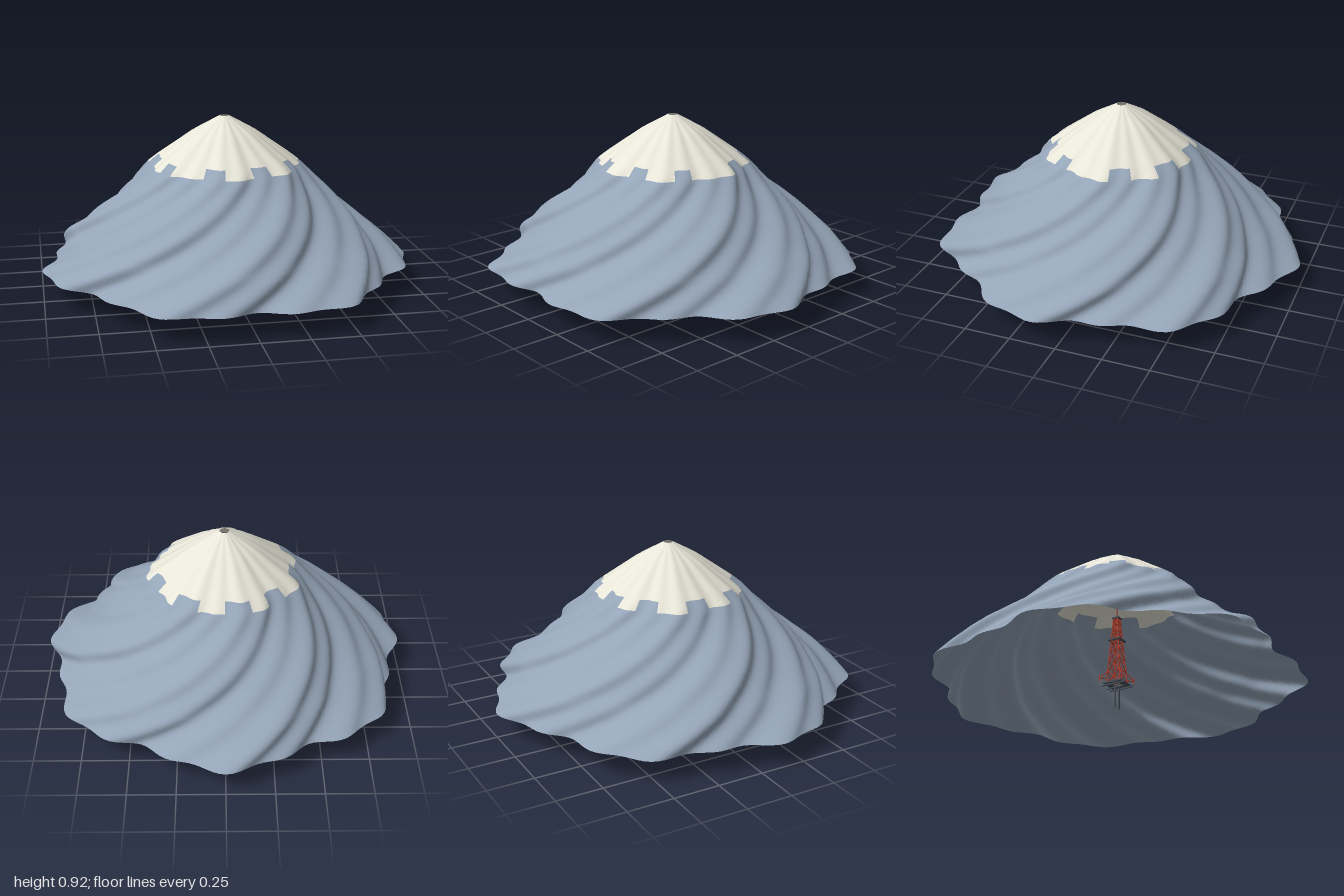
import * as THREE from 'three';

const CZ = 0.03; // the peak sits slightly in front of the centre
const mat = (name, color, side = THREE.FrontSide) => {
  const m = new THREE.MeshStandardMaterial({ color, side });
  m.name = name;
  return m;
};

// mean radius of the slope at each height
const PROFILE = [[0.13, 0.965], [0.26, 0.835], [0.31, 0.775], [0.42, 0.66], [0.48, 0.592], [0.58, 0.478],
  [0.66, 0.402], [0.70, 0.352], [0.84, 0.163], [0.92, 0.025]];
function radiusAt(y) {
  let i = 0;
  while (i < PROFILE.length - 2 && y > PROFILE[i + 1][0]) i++;
  const [y0, r0] = PROFILE[i], [y1, r1] = PROFILE[i + 1];
  return r0 + (r1 - r0) * (y - y0) / (y1 - y0);
}

// angular spans (degrees from the front) where the snow reaches lower
const TEETH = [[-9, 13], [29, 51], [64, 102], [118, 138], [159, 180], [-160, -144], [-127, -105], [-87, -66], [-52, -26]];

function mountain(rock, snow) {
  const rows = 36, cols = 192, pos = [], rockIdx = [], snowIdx = [];
  for (let i = 0; i <= rows; i++) {
    const t = i / rows, y = 0.13 + 0.79 * t, r = radiusAt(y);
    const twist = 1.8 * Math.min(t, 0.68); // ridges spiral on the rock, run straight on the snow
    for (let j = 0; j < cols; j++) {
      const a = j / cols * Math.PI * 2;
      // broad spiral ridges with finer ripples
      const k = 1 - 0.042 * (1 - 0.4 * t) * Math.cos(7 * (a - twist)) - 0.018 * Math.cos(19 * (a - twist));
      pos.push(Math.sin(a) * r * k, y, Math.cos(a) * r * k + CZ);
    }
  }
  for (let i = 0; i < rows; i++) {
    for (let j = 0; j < cols; j++) {
      const n = (j + 1) % cols;
      const a = i * cols + j, b = i * cols + n, c = b + cols, d = a + cols;
      let deg = (j + 0.5) / cols * 360;
      if (deg > 180) deg -= 360;
      const tooth = TEETH.some(([p, q]) => deg > p && deg < q);
      (i >= (tooth ? 24 : 26) ? snowIdx : rockIdx).push(a, b, c, a, c, d);
    }
  }
  const g = new THREE.BufferGeometry();
  g.setAttribute('position', new THREE.Float32BufferAttribute(pos, 3));
  g.setIndex(rockIdx.concat(snowIdx));
  g.addGroup(0, rockIdx.length, 0);
  g.addGroup(rockIdx.length, snowIdx.length, 1);
  g.computeVertexNormals();
  const m = new THREE.Mesh(g, [rock, snow]);
  m.name = 'mountainShell';
  return m;
}

export function createModel() {
  const model = new THREE.Group();
  model.name = 'mountainWithTower';
  const rock = mat('slate blue rock', 0x95a5b8, THREE.DoubleSide);
  const snow = mat('warm white snow', 0xe9e7d9, THREE.DoubleSide);
  const red = mat('tower red', 0xb8402f);
  const dark = mat('dark steel', 0x4a515b);
  model.add(mountain(rock, snow));

  const tower = new THREE.Group();
  tower.name = 'latticeTower';
  tower.position.z = CZ;
  model.add(tower);

  // thin bar between two points
  const bar = (name, p, q, r, m) => {
    const a = new THREE.Vector3(...p), b = new THREE.Vector3(...q);
    const mesh = new THREE.Mesh(new THREE.CylinderGeometry(r, r, a.distanceTo(b), 6), m);
    mesh.position.copy(a).add(b).multiplyScalar(0.5);
    mesh.quaternion.setFromUnitVectors(new THREE.Vector3(0, 1, 0), b.sub(a).normalize());
    mesh.name = name;
    tower.add(mesh);
  };
  const box = (name, w, h, d, x, y, z, m) => {
    const mesh = new THREE.Mesh(new THREE.BoxGeometry(w, h, d), m);
    mesh.position.set(x, y, z);
    mesh.name = name;
    tower.add(mesh);
  };
  // open square landing made of four planks
  const landing = (name, outer, inner, y) => {
    const w = outer - inner, c = (outer + inner) / 2;
    for (const s of [-1, 1]) {
      box(name, w, 0.008, outer * 2, s * c, y, 0, dark);
      box(name, inner * 2, 0.008, w, 0, y, s * c, dark);
    }
  };

  // support posts and open base platform
  for (const s of [-1, 1]) {
    box('supportPost', 0.007, 0.13, 0.007, s * 0.02, 0.065, 0, dark);
    box('platformBeam', 0.007, 0.008, 0.14, s * 0.043, 0.128, 0, dark);
    box('lowerBeam', 0.006, 0.006, 0.11, s * 0.02, 0.114, 0, dark);
  }
  landing('basePlatform', 0.055, 0.025, 0.138);

  // tapering lattice
  const half = y => 0.042 - (y - 0.14) * 0.075;
  const corner = (k, y, h = half(y)) => {
    const a = (k + 0.5) * Math.PI / 2;
    return [Math.cos(a) * h * Math.SQRT2, y, Math.sin(a) * h * Math.SQRT2];
  };
  const levels = [0.14, 0.21, 0.28, 0.34, 0.395, 0.445, 0.49, 0.53];
  for (let k = 0; k < 4; k++) {
    bar('towerLeg', corner(k, 0.14), corner(k, 0.53), 0.0035, red);
    levels.forEach((y, i) => {
      bar('towerRing', corner(k, y), corner(k + 1, y), 0.0025, red);
      if (i < levels.length - 1) {
        const up = levels[i + 1];
        bar('towerBrace', corner(k, y), corner(k + 1, up), 0.0025, red);
        bar('towerBrace', corner(k + 1, y), corner(k, up), 0.0025, red);
      }
    });
    // outrigger arms reaching past the platform corners
    bar('outriggerArm', corner(k, 0.165), corner(k, 0.165, 0.068), 0.003, red);
    bar('outriggerStay', corner(k, 0.165, 0.068), corner(k, 0.21), 0.0025, red);
    bar('outriggerPost', corner(k, 0.145, 0.068), corner(k, 0.185, 0.068), 0.003, red);
  }

  // upper landings and mast
  landing('middleLanding', 0.036, 0.022, 0.395);
  landing('topLanding', 0.02, 0.012, 0.53);
  for (const s of [0, 1]) bar('mastSupport', corner(s, 0.53), corner(s + 2, 0.53), 0.0025, red);
  bar('mast', [0, 0.53, 0], [0, 0.63, 0], 0.003, red);
  return model;
}
